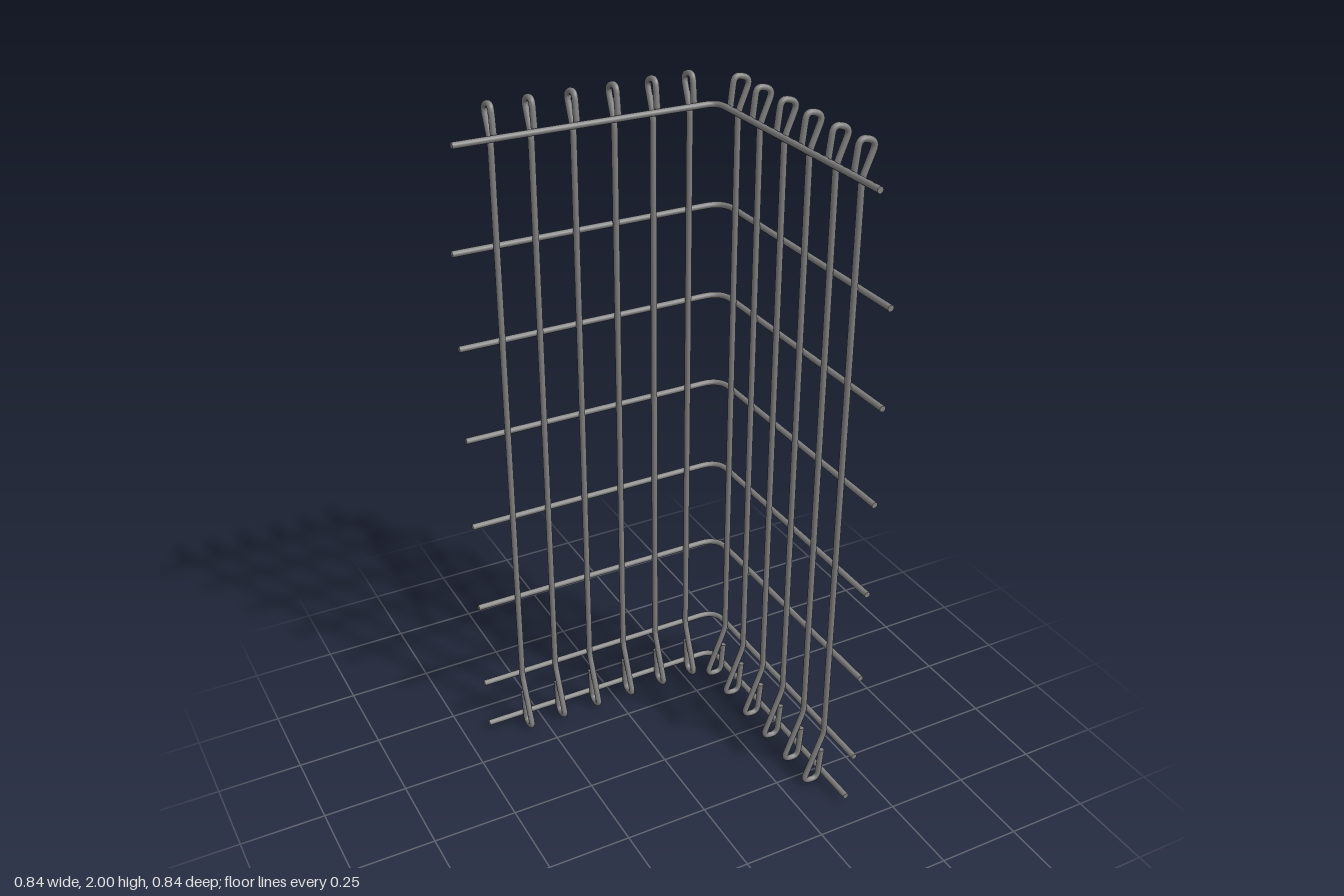
import * as THREE from 'three';

const R = 0.009;
const material = new THREE.MeshStandardMaterial({ color: 0x808080 });
const v = (x, y, z) => new THREE.Vector3(x, y, z);

// Path that visits each listed point at equal parameter steps
class PointPath extends THREE.Curve {
  constructor(points) { super(); this.points = points; }
  getPoint(t, target = v()) {
    const n = this.points.length - 1;
    const i = Math.min(Math.floor(t * n + 1e-6), n - 1);
    return target.lerpVectors(this.points[i], this.points[i + 1], t * n - i);
  }
  getPointAt(t, target) { return this.getPoint(t, target); }
  getTangentAt(t, target = v()) {
    const n = this.points.length - 1, i = Math.round(t * n);
    const p = this.points, dir = (a) => p[a + 1].clone().sub(p[a]).normalize();
    return target.copy(dir(Math.max(i - 1, 0))).add(dir(Math.min(i, n - 1))).normalize();
  }
}

// Polyline with each inner corner rounded, trimmed by the given amounts
function rounded(corners, trims, steps = 8) {
  const out = [corners[0]];
  for (let i = 1; i < corners.length - 1; i++) {
    const c = corners[i];
    const toward = (q) => c.clone().add(q.clone().sub(c).setLength(trims[i - 1]));
    const bend = new THREE.QuadraticBezierCurve3(toward(corners[i - 1]), c, toward(corners[i + 1]));
    out.push(...bend.getPoints(steps));
  }
  out.push(corners[corners.length - 1]);
  return out;
}

// Round steel rod with flat end caps
function rod(name, points) {
  const group = new THREE.Group();
  group.name = name;
  const path = new PointPath(points);
  group.add(new THREE.Mesh(new THREE.TubeGeometry(path, points.length - 1, R, 12), material));
  for (const end of [0, 1]) {
    const cap = new THREE.Mesh(new THREE.CircleGeometry(R, 12), material);
    cap.position.copy(points[end ? points.length - 1 : 0]);
    const dir = path.getTangentAt(end).multiplyScalar(end ? 1 : -1);
    cap.quaternion.setFromUnitVectors(v(0, 0, 1), dir);
    group.add(cap);
  }
  group.children.forEach((m) => { m.name = name; });
  return group;
}

export function createModel() {
  const model = new THREE.Group();
  model.name = 'cornerReinforcementMesh';

  // Horizontal bars bent round the corner: [height, distance from centre, bend]
  const levels = [[0.027, 0.383, 0.05], [1.911, 0.343, 0.04]];
  for (const y of [0.172, 0.459, 0.747, 1.034, 1.321, 1.599]) levels.push([y, 0.401, 0.06]);
  for (const [y, d, bend] of levels) {
    model.add(rod('horizontalBar', rounded([v(-0.423, y, -d), v(d, y, -d), v(d, y, 0.423)], [bend])));
  }

  // Upright bars, hooked at both ends: [distance from centre, height]
  const profile = [[0.376, 0.11], [0.367, 0.004], [0.316, 0.01], [0.381, 0.175],
    [0.381, 1.89], [0.418, 1.98], [0.367, 1.996], [0.356, 1.903]];
  const trims = [0.024, 0.024, 0.02, 0.02, 0.024, 0.024];
  const upright = (name, place) =>
    model.add(rod(name, rounded(profile.map(([d, y]) => place(d, y)), trims, 6)));

  for (const x of [-0.303, -0.19, -0.07, 0.05, 0.166, 0.278]) {
    upright('backUpright', (d, y) => v(x, y, -d));
  }
  for (const z of [-0.299, -0.183, -0.061, 0.059, 0.18, 0.292]) {
    upright('sideUpright', (d, y) => v(d, y, z));
  }
  return model;
}
